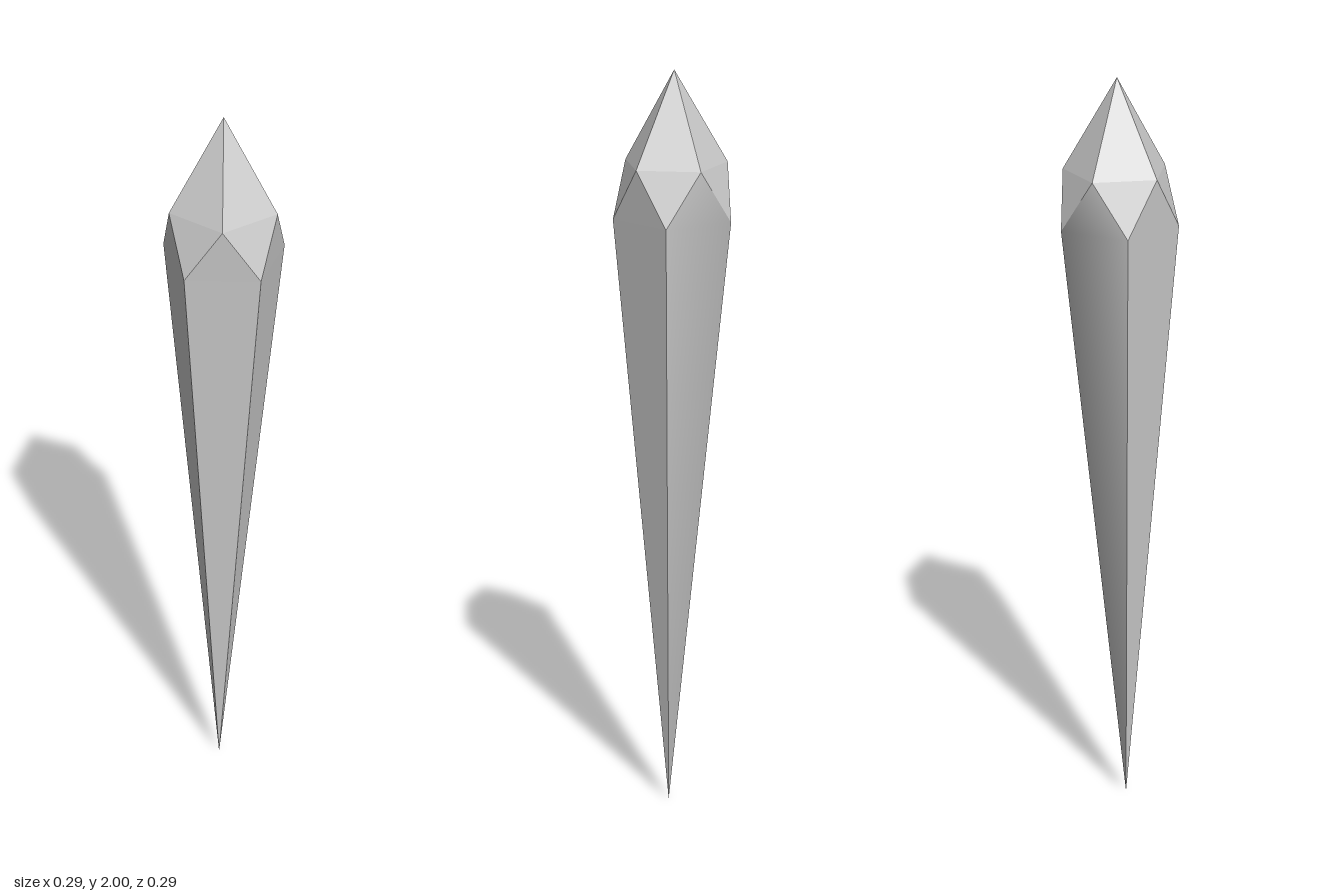
import * as THREE from 'three';

const SIDES = 5;
const STEP = (Math.PI * 2) / SIDES;
const CENTRE_X = 0.01;

// Ring of five corners around the shard's axis
function ring(radius, y, offset) {
  return Array.from({ length: SIDES }, (_, k) => {
    const a = k * STEP + offset;
    return new THREE.Vector3(CENTRE_X + radius * Math.cos(a), y, radius * Math.sin(a));
  });
}

// Mesh from a list of triangles, optionally smoothed across shared corners
function facetMesh(name, triangles, smooth) {
  const corners = [...new Set(triangles.flat())];
  let geometry = new THREE.BufferGeometry().setFromPoints(corners);
  geometry.setIndex(triangles.flat().map((p) => corners.indexOf(p)));
  if (!smooth) geometry = geometry.toNonIndexed();
  geometry.computeVertexNormals();
  const material = new THREE.MeshStandardMaterial({ color: 0xcccccc, flatShading: !smooth });
  const mesh = new THREE.Mesh(geometry, material);
  mesh.name = name;
  return mesh;
}

export function createModel() {
  const group = new THREE.Group();
  group.name = 'crystalShard';

  const apex = new THREE.Vector3(CENTRE_X, 2, 0);
  const tip = new THREE.Vector3(0.007, 0, 0.025);
  const upper = ring(0.135, 1.77, 0);
  const lower = ring(0.155, 1.635, STEP / 2);

  const crown = [];
  const shaft = [];
  const rearShaft = [];
  for (let k = 0; k < SIDES; k++) {
    const next = (k + 1) % SIDES;
    const prev = (k + SIDES - 1) % SIDES;
    // Kite-shaped crown facet
    crown.push([apex, upper[next], upper[k]], [upper[k], upper[next], lower[k]]);
    // Long facet tapering to the tip; the two rear ones blend into each other
    const side = k >= 3 ? rearShaft : shaft;
    side.push([upper[k], lower[k], lower[prev]], [lower[prev], lower[k], tip]);
  }

  group.add(
    facetMesh('crown', crown, false),
    facetMesh('shaft', shaft, false),
    facetMesh('rearShaft', rearShaft, true)
  );
  return group;
}
